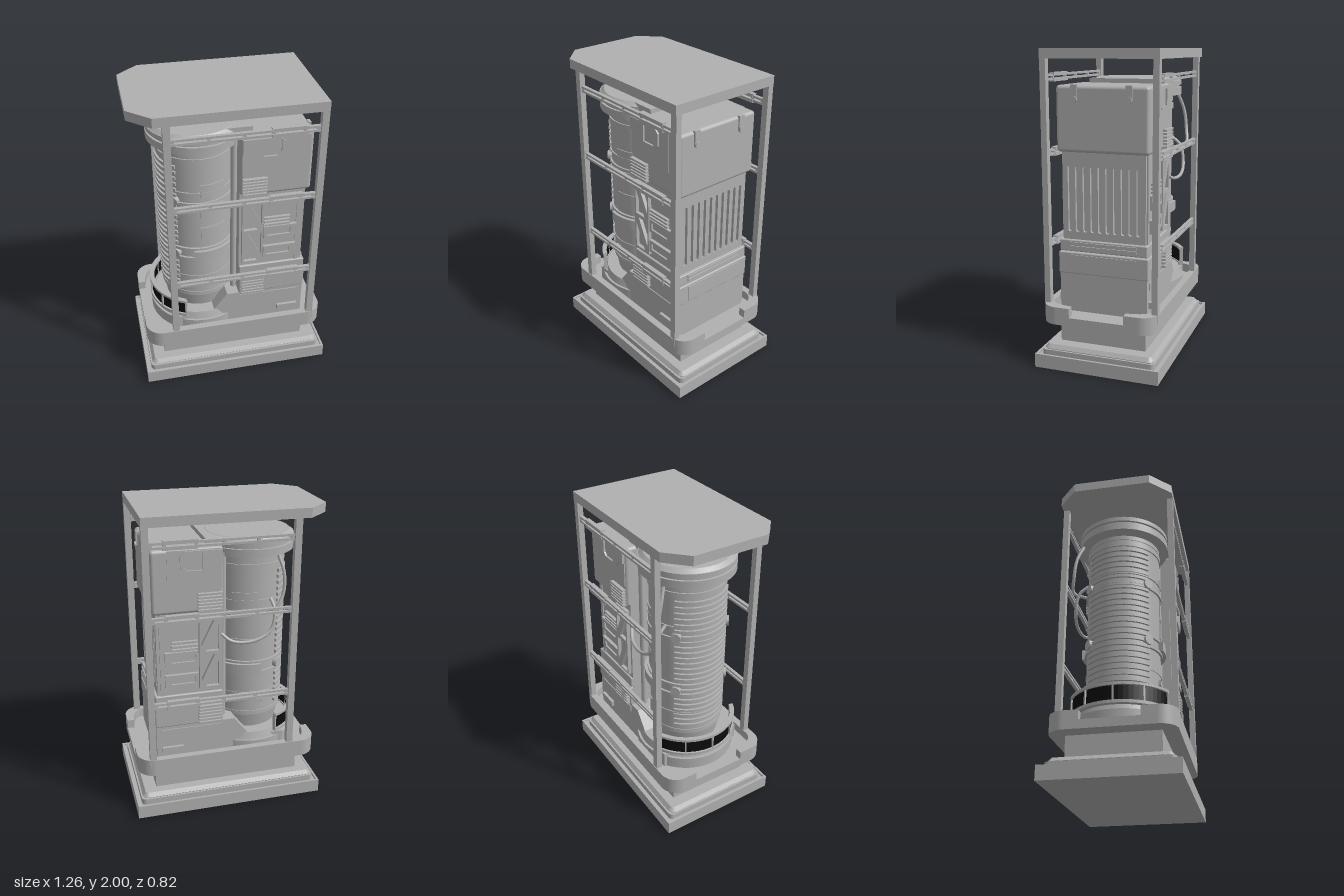
import * as THREE from 'three';
import { RoundedBoxGeometry } from 'three/addons/geometries/RoundedBoxGeometry.js';

const grey = new THREE.MeshStandardMaterial({ color: 0xb0b0b0 });
grey.name = 'grey';
const black = new THREE.MeshStandardMaterial({ color: 0x0c0c0c });
black.name = 'black';
const CX = -0.2; // axis of the round tank

export function createModel() {
  const model = new THREE.Group();

  const add = (name, geo, mat = grey) => {
    const m = new THREE.Mesh(geo, mat);
    m.name = name;
    model.add(m);
    return m;
  };
  // box given by its limits
  const box = (name, x0, x1, y0, y1, z0, z1, r = 0) => {
    const s = [x1 - x0, y1 - y0, z1 - z0];
    const g = r ? new RoundedBoxGeometry(...s, 3, r) : new THREE.BoxGeometry(...s);
    return add(name, g.translate((x0 + x1) / 2, (y0 + y1) / 2, (z0 + z1) / 2));
  };
  // the same box on the front and the back
  const pair = (name, x0, x1, y0, y1, z0, z1) => {
    box(name, x0, x1, y0, y1, z0, z1);
    box(name, x0, x1, y0, y1, -z1, -z0);
  };
  const poly = (pts, T = THREE.Shape) => new T(pts.map(p => new THREE.Vector2(...p)));
  const extrude = (shape, depth, opt = {}) =>
    new THREE.ExtrudeGeometry(shape, { depth, bevelEnabled: false, curveSegments: 12, ...opt });
  // plan shape raised from y0 to y1
  const slab = (name, shape, y0, y1, mat = grey) =>
    add(name, extrude(shape, y1 - y0).rotateX(-Math.PI / 2).translate(0, y0, 0), mat);
  // elevation shape between z0 and z1, front and back
  const facePair = (name, shape, z0, z1) => {
    for (const z of [z0, -z1]) add(name, extrude(shape, z1 - z0).translate(0, 0, z));
  };
  const roundRect = (w, h, r, T = THREE.Shape, cx = 0, cy = 0) => {
    const s = new T();
    s.absarc(cx + w - r, cy + h - r, r, 0, Math.PI / 2);
    s.absarc(cx - w + r, cy + h - r, r, Math.PI / 2, Math.PI);
    s.absarc(cx - w + r, cy - h + r, r, Math.PI, Math.PI * 1.5);
    s.absarc(cx + w - r, cy - h + r, r, Math.PI * 1.5, Math.PI * 2);
    s.closePath();
    return s;
  };
  const ring = (name, r0, r1, y0, y1) =>
    add(name, new THREE.CylinderGeometry(r1, r0, y1 - y0, 64).translate(CX, (y0 + y1) / 2, 0));
  // curved wall around the tank axis, from angle a to b (0 is +x, PI/2 is the back)
  const arcWall = (name, rIn, rOut, a, b, y0, y1, mat = grey) => {
    const s = new THREE.Shape();
    s.absarc(CX, 0, rOut, a, b, false);
    s.absarc(CX, 0, rIn, b, a, true);
    s.closePath();
    return slab(name, s, y0, y1, mat);
  };

  // stepped base
  box('basePlate', -0.632, 0.632, 0, 0.075, -0.41, 0.41);
  pair('baseLip', -0.632, 0.632, 0.075, 0.09, 0.395, 0.41);
  for (const s of [-1, 1]) box('baseLip', s * 0.6245 - 0.0075, s * 0.6245 + 0.0075, 0.075, 0.09, -0.395, 0.395);
  slab('plinth', roundRect(0.6, 0.375, 0.03), 0.075, 0.115);
  add('plinthBevel', extrude(roundRect(0.57, 0.345, 0.02), 0.001,
    { bevelEnabled: true, bevelThickness: 0.025, bevelSize: 0.02, bevelSegments: 1 })
    .rotateX(-Math.PI / 2).translate(0, 0.119, 0));
  box('neck', -0.495, 0.49, 0.13, 0.3, -0.285, 0.285);

  // tray with a rim open in the middle of both ends
  slab('trayFloor', roundRect(0.607, 0.38, 0.11), 0.295, 0.35);
  const rim = new THREE.Shape();
  rim.moveTo(0.607, 0.18);
  rim.lineTo(0.607, 0.27);
  rim.absarc(0.497, 0.27, 0.11, 0, Math.PI / 2);
  rim.absarc(-0.497, 0.27, 0.11, Math.PI / 2, Math.PI);
  rim.lineTo(-0.607, 0.18);
  rim.lineTo(-0.56, 0.18);
  rim.quadraticCurveTo(-0.55, 0.335, -0.46, 0.335);
  rim.lineTo(0.46, 0.335);
  rim.quadraticCurveTo(0.55, 0.335, 0.56, 0.18);
  slab('trayRim', rim, 0.35, 0.41);
  slab('trayRim', rim, 0.35, 0.41).rotation.y = Math.PI;

  // roof, posts and double rails
  slab('roof', poly([[-0.625, -0.25], [-0.49, -0.377], [0.535, -0.377], [0.535, 0.377], [-0.49, 0.377], [-0.625, 0.25]]), 1.94, 2);
  for (const x of [-0.435, 0.492]) pair('post', x, x + 0.043, 0.35, 1.945, 0.337, 0.375);
  for (const y of [0.79, 1.365, 1.827]) {
    pair('rail', -0.4, 0.5, y + 0.006, y + 0.02, 0.342, 0.365);
    pair('rail', -0.4, 0.5, y - 0.02, y - 0.006, 0.342, 0.365);
    pair('railSleeve', 0.2, 0.41, y + 0.006, y + 0.028, 0.338, 0.368);
    pair('railSleeve', 0.2, 0.41, y - 0.028, y - 0.006, 0.338, 0.368);
    for (const x of [-0.39, -0.18, 0.03, 0.2, 0.39, 0.47]) pair('railSpacer', x, x + 0.02, y - 0.015, y + 0.015, 0.345, 0.362);
  }

  // cabinet body
  box('cabinetFoot', 0.03, 0.475, 0.345, 0.61, -0.29, 0.29);
  box('cabinetLowerBand', 0.03, 0.48, 0.6, 0.74, -0.298, 0.298, 0.008);
  box('cabinetUpperBand', 0.03, 0.475, 0.745, 0.82, -0.29, 0.29, 0.008);
  box('cabinetCore', 0.03, 0.435, 0.7, 1.4, -0.275, 0.275);
  box('cabinetHead', 0.03, 0.48, 1.375, 1.782, -0.3, 0.3, 0.022);
  facePair('cabinetSkirt', poly([[-0.39, 0.34], [0.04, 0.34], [0.04, 0.597], [-0.05, 0.597], [-0.16, 0.455], [-0.39, 0.455]]), 0.1, 0.29);

  // slotted end panel
  const panel = poly([[-0.272, 0.81], [0.272, 0.81], [0.272, 1.38], [-0.272, 1.38]]);
  for (let i = 0; i < 10; i++) panel.holes.push(roundRect(0.013, 0.21, 0.012, THREE.Path, -0.225 + i * 0.05, 1.08));
  add('slottedPanel', extrude(panel, 0.022).rotateY(Math.PI / 2).translate(0.433, 0, 0));
  for (const y of [0.765, 0.79]) box('endBandStrip', 0.47, 0.483, y, y + 0.018, -0.22, 0.22);
  box('endPlate', 0.478, 0.486, 0.62, 0.725, -0.22, 0.22);
  for (const z of [-0.175, 0.175]) {
    box('strap', 0.47, 0.49, 1.7, 1.786, z - 0.02, z + 0.02);
    add('strapKnob', new THREE.CylinderGeometry(0.02, 0.02, 0.02, 20).rotateZ(Math.PI / 2).translate(0.488, 1.7, z));
  }

  // cabinet face details
  facePair('headPanel', poly([[0.04, 1.52], [0.38, 1.52], [0.38, 1.775], [0.04, 1.775]]), 0.298, 0.304);
  const hatch = poly([[0.04, 1.685], [0.08, 1.685], [0.13, 1.63], [0.27, 1.63], [0.3, 1.66], [0.3, 1.74], [0.27, 1.77], [0.04, 1.77]]);
  hatch.holes.push(poly([[0.165, 1.65], [0.255, 1.65], [0.277, 1.67], [0.277, 1.755], [0.165, 1.755]], THREE.Path));
  facePair('hatch', hatch, 0.3, 0.316);
  for (let i = 0; i < 6; i++) {
    pair('upperVentRib', 0.04, 0.195, 1.385 + i * 0.021, 1.398 + i * 0.021, 0.29, 0.325);
    pair('lowerVentRib', 0.04, 0.195, 0.605 + i * 0.023, 0.62 + i * 0.023, 0.29, 0.325);
  }
  const truss = poly([[0.045, 0.85], [0.185, 0.85], [0.185, 1.34], [0.045, 1.34]]);
  for (const [a, b] of [[0.865, 1.085], [1.11, 1.325]]) {
    truss.holes.push(poly([[0.058, a], [0.145, a], [0.058, b - 0.04]], THREE.Path));
    truss.holes.push(poly([[0.172, b], [0.085, b], [0.172, a + 0.04]], THREE.Path));
  }
  facePair('truss', truss, 0.276, 0.3);
  for (let i = 0; i < 3; i++) pair('coreRib', 0.19, 0.36, 1.125 + i * 0.025, 1.138 + i * 0.025, 0.27, 0.295);
  for (const [y0, y1] of [[1.03, 1.12], [0.88, 0.965]]) {
    pair('drawer', 0.19, 0.405, y0, y1, 0.27, 0.285);
    const frame = poly([[0.19, y0], [0.405, y0], [0.405, y1], [0.19, y1]]);
    frame.holes.push(poly([[0.21, y0 + 0.02], [0.365, y0 + 0.02], [0.365, y1 - 0.02], [0.21, y1 - 0.02]], THREE.Path));
    facePair('drawerFrame', frame, 0.285, 0.297);
  }
  pair('coreEdge', 0.405, 0.435, 0.82, 1.375, 0.27, 0.282);
  pair('footPlate', 0.04, 0.44, 0.53, 0.577, 0.285, 0.296);
  pair('footBlock', 0.3, 0.44, 0.41, 0.45, 0.285, 0.31);

  // round tank and its rings
  ring('tankFoot', 0.33, 0.33, 0.345, 0.43);
  ring('tankFootStep', 0.315, 0.3, 0.43, 0.48);
  ring('tankTaper', 0.215, 0.238, 0.47, 0.6);
  ring('tank', 0.238, 0.238, 0.6, 1.7);
  for (const [y0, y1, r] of [[0.58, 0.61, 0.243], [0.74, 0.75, 0.243], [0.885, 0.905, 0.252], [0.96, 0.98, 0.252],
    [1.305, 1.325, 0.25], [1.39, 1.4, 0.246], [1.6, 1.635, 0.246], [1.65, 1.68, 0.242]]) ring('tankRing', r, r, y0, y1);
  for (const [y0, y1] of [[1.01, 1.135], [1.145, 1.295], [1.33, 1.45]])
    for (const c of [Math.PI * 1.6, Math.PI * 0.4]) arcWall('tankPlate', 0.23, 0.244, c - 0.35, c + 0.35, y0, y1);
  for (const c of [Math.PI * 1.62, Math.PI * 0.38]) arcWall('tankClamp', 0.24, 0.272, c - 0.6, c + 0.5, 0.9, 0.965);
  pair('tankSocket', -0.255, -0.21, 0.67, 0.7, 0.22, 0.246);

  // louvres and bolts on the outer side of the tank
  for (let i = 0; i < 24; i++) arcWall('louvre', 0.23, 0.252, Math.PI - 0.9, Math.PI + 0.9, 0.64 + i * 0.04, 0.66 + i * 0.04);
  for (const y of [0.93, 1.33]) for (const s of [-1, 1])
    add('tankBolt', new THREE.CylinderGeometry(0.032, 0.032, 0.03, 20).rotateZ(Math.PI / 2)
      .rotateY(s * 0.85).translate(CX - 0.25 * Math.cos(0.85), y, s * 0.25 * Math.sin(0.85)));

  // tank cap
  ring('capCollar', 0.245, 0.29, 1.68, 1.695);
  ring('capLower', 0.3, 0.3, 1.695, 1.745);
  ring('capGroove', 0.285, 0.285, 1.745, 1.76);
  ring('capUpper', 0.3, 0.3, 1.76, 1.79);
  ring('capTop', 0.295, 0.27, 1.79, 1.812);
  box('capBridge', -0.1, 0.12, 1.77, 1.81, -0.22, 0.22);

  // curved guard with dark mesh
  const a = Math.PI - 1.15, b = Math.PI + 1.15;
  arcWall('guardMesh', 0.312, 0.322, a, b, 0.47, 0.59, black);
  arcWall('guardBottom', 0.305, 0.335, a, b, 0.465, 0.485);
  arcWall('guardTop', 0.305, 0.335, a, b, 0.58, 0.597);
  for (let i = 0; i <= 4; i++) {
    const c = a + (b - a) * i / 4;
    arcWall('guardBar', 0.308, 0.333, c - 0.015, c + 0.015, 0.47, 0.59);
  }

  // pipes beside the cabinet and loose cables
  const tube = (name, pts, r) => add(name, new THREE.TubeGeometry(
    new THREE.CatmullRomCurve3(pts.map(p => new THREE.Vector3(...p))), 40, r, 10));
  for (const s of [-1, 1]) tube('pipe', [[0.01, 0.58, s * 0.2], [0.01, 1.1, s * 0.2], [0.01, 1.72, s * 0.2]], 0.02);
  tube('cable', [[-0.33, 1.7, -0.25], [-0.36, 1.58, -0.29], [-0.35, 1.45, -0.31], [-0.3, 1.36, -0.32], [-0.27, 1.33, -0.24]], 0.011);
  tube('cable', [[0.05, 1.22, -0.26], [-0.03, 1.16, -0.3], [-0.17, 1.16, -0.32], [-0.28, 1.22, -0.31], [-0.31, 1.34, -0.28], [-0.3, 1.4, -0.22]], 0.011);

  return model;
}
